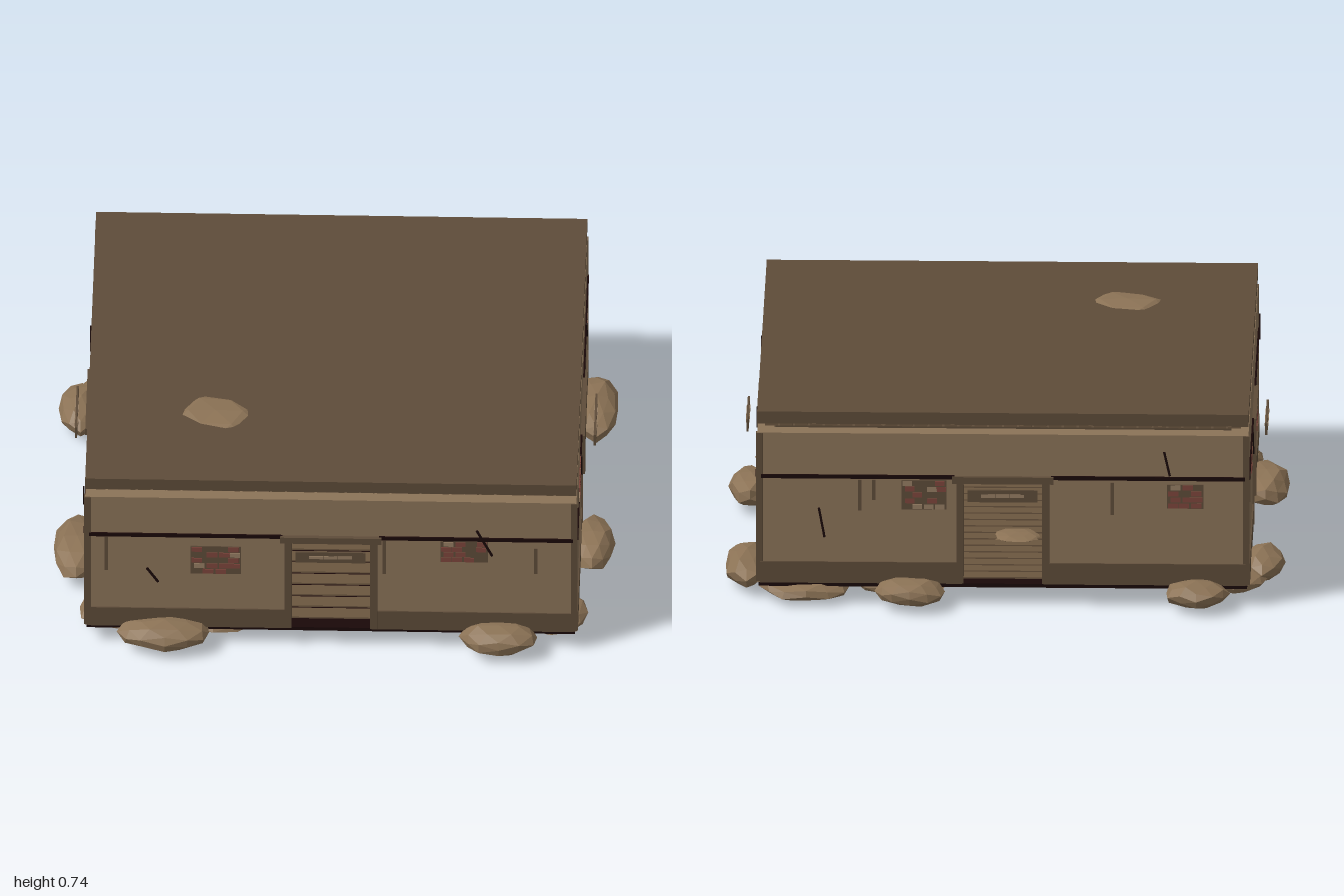
import * as THREE from 'three';

const material = (name, color) => {
  const m = new THREE.MeshStandardMaterial({ color });
  m.name = name;
  return m;
};
const M = {
  wall: material('mud wall', 0x8b7358),
  timber: material('dark timber', 0x5e4c39),
  plank: material('plank', 0x6b563f),
  rock: material('rock', 0x8b7255),
  char: material('charred black', 0x190808),
  brick: material('red brick', 0x7d453b),
  pale: material('pale brick', 0x957d63),
};
M.rock.flatShading = true;

function seeded(seed) {
  return () => {
    seed = (seed * 16807) % 2147483647;
    return seed / 2147483647;
  };
}

function box(parent, name, mat, w, h, d, x, y, z) {
  const mesh = new THREE.Mesh(new THREE.BoxGeometry(w, h, d), mat);
  mesh.position.set(x, y, z);
  mesh.name = name;
  parent.add(mesh);
  return mesh;
}

// Flattened faceted boulder: direction-based jitter keeps shared corners together
function boulder(parent, name, x, y, z, rx, ry, rz, k) {
  const geo = new THREE.IcosahedronGeometry(1, 1);
  const p = geo.attributes.position;
  for (let i = 0; i < p.count; i++) {
    const [a, b, c] = [p.getX(i), p.getY(i), p.getZ(i)];
    const s = 0.95 + 0.06 * Math.sin(5 * a + 3 * b + 4 * c + k);
    p.setXYZ(i, a * s * rx, b * s * ry, c * s * rz);
  }
  geo.computeVertexNormals();
  const mesh = new THREE.Mesh(geo, M.rock);
  mesh.position.set(x, y, z);
  mesh.name = name;
  parent.add(mesh);
}

// Broken plaster showing bricks
function brickPatch(parent, [x, y, w, h], z, rand) {
  const g = new THREE.Group();
  g.name = 'brickPatch';
  box(g, 'patchBacking', M.timber, w, h, 0.004, x, y, z + 0.002);
  const rows = Math.round(h / 0.022), rh = h / rows, cols = Math.round(w / 0.042), cw = w / cols;
  for (let r = 0; r < rows; r++) {
    for (let c = 0; c < cols; c++) {
      const pick = rand();
      if (pick < 0.3) continue;
      const shift = r % 2 ? cw * 0.2 : -cw * 0.1;
      const bx = THREE.MathUtils.clamp(x - w / 2 + (c + 0.5) * cw + shift, x - w / 2 + cw / 2, x + w / 2 - cw / 2);
      box(g, 'brick', pick < 0.8 ? M.brick : M.pale, cw * 0.85, rh * 0.8, 0.004,
        bx, y - h / 2 + (r + 0.5) * rh, z + 0.005);
    }
  }
  parent.add(g);
}

// One wall facing +z at distance dist, with doorway and weathering
function wallSide(name, dist, half, solidHalf, angle, details, seed) {
  const g = new THREE.Group();
  g.name = name;
  const rand = seeded(seed), T = 0.06, door = 0.145;
  box(g, 'upperWall', M.wall, solidHalf * 2, 0.19, T, 0, 0.555, dist - T / 2);
  for (const s of [-1, 1]) {
    const len = solidHalf - door, mid = s * (door + len / 2);
    box(g, 'lowerWall', M.wall, len, 0.375, T, mid, 0.2725, dist - T / 2);
    const fl = half - door - 0.01, fm = s * (door + fl / 2);
    box(g, 'baseBand', M.timber, fl, 0.08, 0.006, fm, 0.125, dist + 0.002);
    box(g, 'charredStripe', M.char, fl - 0.03, 0.014, 0.006, fm + s * 0.012, 0.487, dist + 0.003);
    box(g, 'doorJamb', M.timber, 0.025, 0.38, T + 0.016, s * 0.153, 0.278, dist - T / 2);
  }
  box(g, 'doorLintel', M.timber, 0.36, 0.026, T + 0.03, 0, 0.479, dist - T / 2);

  // Hanging board in front of the doorway
  box(g, 'hangingBoard', M.timber, 0.25, 0.045, 0.008, 0, 0.434, dist + 0.049);
  for (const s of [-1, 1])
    for (let i = 0; i < 3; i++)
      box(g, 'boardInlay', M.pale, 0.05, 0.012, 0.003, (i - 1) * 0.052, 0.435, dist + 0.049 + s * 0.005);

  details.patches.forEach((p) => brickPatch(g, p, dist, rand));
  details.streaks.forEach(([x, y0, y1]) =>
    box(g, 'waterStreak', M.timber, 0.013, y1 - y0, 0.004, x, (y0 + y1) / 2, dist + 0.002));
  details.cracks.forEach(([x0, y0, x1, y1]) => {
    const c = box(g, 'crack', M.char, 0.008, Math.hypot(x1 - x0, y1 - y0), 0.005,
      (x0 + x1) / 2, (y0 + y1) / 2, dist + 0.009);
    c.rotation.z = -Math.atan2(x0 - x1, y0 - y1) ;
  });
  g.rotation.y = angle;
  return g;
}

export function createModel() {
  const model = new THREE.Group();
  model.name = 'ruinedHouse';
  const X = 0.875, Z = 0.8;

  // Walls
  model.add(wallSide('frontWall', Z, X, X, 0, {
    patches: [[-0.41, 0.38, 0.18, 0.12], [0.475, 0.432, 0.17, 0.09]],
    streaks: [[-0.8, 0.33, 0.475], [0.19, 0.33, 0.475], [0.73, 0.34, 0.45]],
    cracks: [[-0.655, 0.345, -0.615, 0.285], [0.52, 0.53, 0.575, 0.42]],
  }, 11));
  model.add(wallSide('leftWall', X, Z, Z - 0.06, Math.PI / 2, {
    patches: [[-0.51, 0.525, 0.2, 0.11], [0.545, 0.45, 0.12, 0.07]],
    streaks: [[-0.59, 0.36, 0.475], [-0.22, 0.34, 0.475], [0.4, 0.36, 0.46]],
    cracks: [[-0.42, 0.58, -0.39, 0.48], [0.36, 0.59, 0.385, 0.52]],
  }, 23));
  model.add(wallSide('backWall', Z, X, X, Math.PI, {
    patches: [[-0.28, 0.42, 0.16, 0.11], [0.65, 0.42, 0.13, 0.09]],
    streaks: [[-0.51, 0.36, 0.475], [-0.46, 0.4, 0.475], [0.39, 0.35, 0.47]],
    cracks: [[-0.655, 0.37, -0.635, 0.26], [0.575, 0.59, 0.595, 0.5]],
  }, 37));
  model.add(wallSide('rightWall', X, Z, Z - 0.06, -Math.PI / 2, {
    patches: [[-0.51, 0.45, 0.13, 0.08], [0.39, 0.32, 0.12, 0.12]],
    streaks: [[-0.68, 0.36, 0.475], [-0.22, 0.36, 0.475], [0.5, 0.37, 0.475]],
    cracks: [[-0.4, 0.52, -0.37, 0.43], [0.66, 0.59, 0.64, 0.5]],
  }, 51));
  for (const sx of [-1, 1])
    for (const sz of [-1, 1])
      box(model, 'cornerPost', M.timber, 0.024, 0.56, 0.024, sx * (X - 0.008), 0.369, sz * (Z - 0.008));

  // Floor slab with boards on top
  box(model, 'floorSlab', M.char, X * 2 - 0.01, 0.014, Z * 2 - 0.01, 0, 0.076, 0);
  for (let i = 0; i < 22; i++)
    box(model, 'floorBoard', M.plank, 1.62, 0.006, 0.055, 0, 0.086, -0.714 + i * 0.068);

  // Roof slab, ceiling boards and joists
  box(model, 'roofSlab', M.timber, X * 2, 0.045, Z * 2, 0, 0.7075, 0);
  for (let i = 0; i < 32; i++)
    box(model, 'ceilingBoard', M.plank, 0.045, 0.007, 1.57, -0.825 + i * 0.0532, 0.676, 0);
  for (let i = 0; i < 9; i++)
    box(model, 'ceilingJoist', M.timber, 1.62, 0.03, 0.04, 0, 0.62, -0.66 + i * 0.165);

  // Splinters hanging from the ceiling
  [[0.18, 0.06], [0.26, -0.05], [0.39, -0.22], [0.41, -0.36], [-0.2, 0.08]].forEach(([x, z], i) => {
    const s = box(model, 'splinter', M.timber, 0.007, 0.05, 0.007, x, 0.655, z);
    s.rotation.set(i % 2 ? 0.3 : -0.25, 0, i % 2 ? -0.3 : 0.25);
  });

  // Boulder lodged in the roof
  boulder(model, 'roofBoulder', -0.42, 0.69, 0.39, 0.185, 0.056, 0.155, 2);

  // Boulders around the footings: x, y, z, radii
  [
    [-0.69, 0.065, -0.83, 0.12, 0.05, 0.1],
    [0.33, 0.065, -0.83, 0.13, 0.05, 0.1],
    [0.7, 0.045, -0.73, 0.17, 0.04, 0.13],
    [-0.92, 0.07, -0.51, 0.085, 0.06, 0.145],
    [-0.82, 0.05, -0.62, 0.12, 0.04, 0.13],
    [-0.915, 0.07, 0.32, 0.09, 0.06, 0.19],
    [-0.75, 0.045, 0.64, 0.165, 0.04, 0.13],
    [-0.59, 0.075, 0.825, 0.175, 0.056, 0.095],
    [0.6, 0.075, 0.825, 0.145, 0.056, 0.095],
    [0.92, 0.07, 0.25, 0.08, 0.06, 0.155],
    [0.78, 0.045, 0.63, 0.14, 0.04, 0.14],
    [0.915, 0.068, -0.56, 0.085, 0.062, 0.19],
    [0.36, 0.045, -0.69, 0.17, 0.035, 0.1],
    [-0.42, 0.05, 0.69, 0.17, 0.035, 0.1],
    [-0.74, 0.045, -0.35, 0.1, 0.035, 0.14],
    [-0.04, 0.085, -0.3, 0.09, 0.018, 0.08],
  ].forEach((b, i) => boulder(model, 'footingBoulder', ...b, i * 1.7));

  return model;
}
